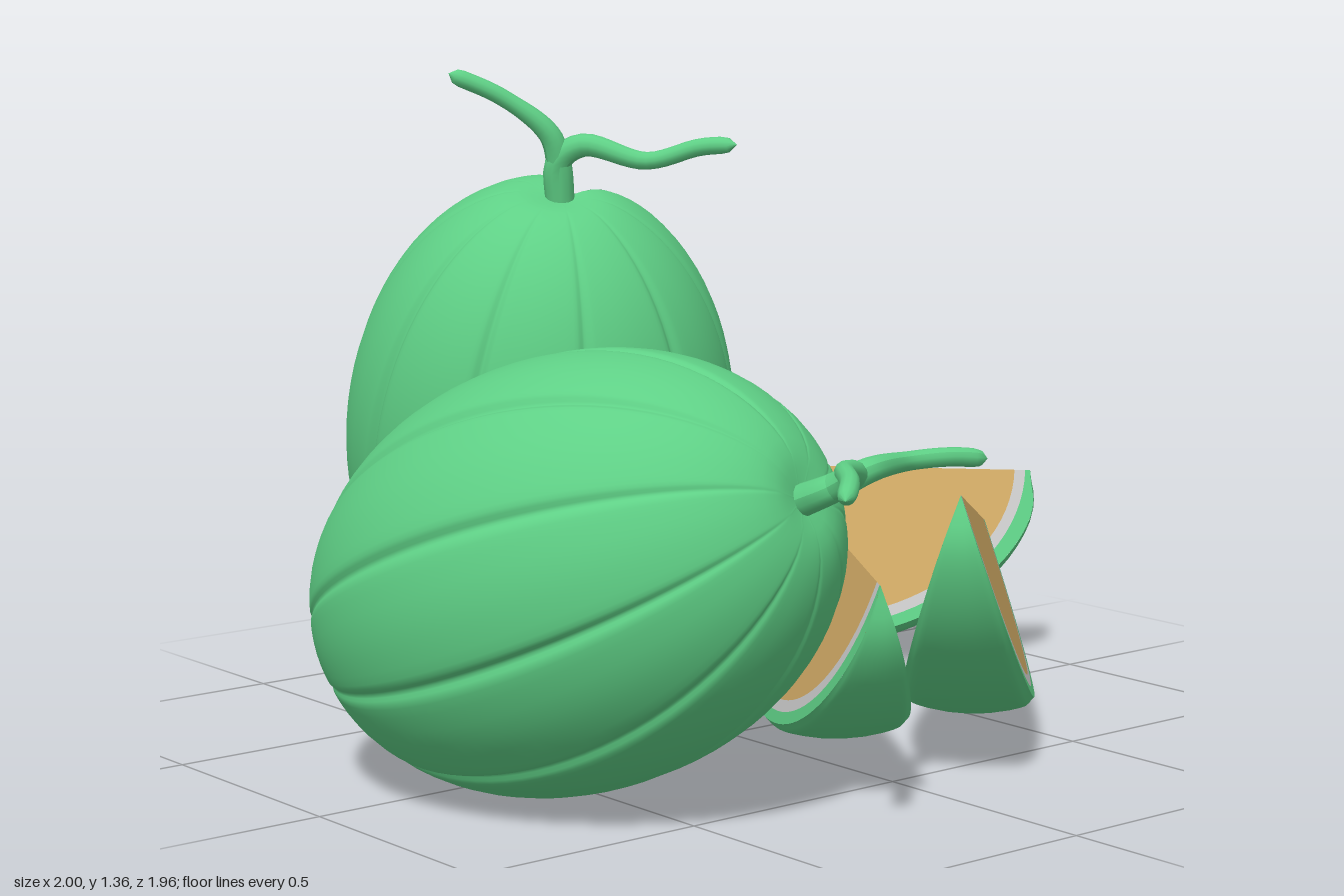
import * as THREE from 'three';

const R = 0.415, L = 0.57, RAD = Math.PI / 180;
const V = (x, y, z) => new THREE.Vector3(x, y, z);
const mat = (color, side = THREE.FrontSide) =>
  new THREE.MeshStandardMaterial({ color, side });
const rindMat = mat(0x5fd086);
const cutRindMat = mat(0x5fd086, THREE.DoubleSide);
const pithMat = mat(0xcccccc, THREE.DoubleSide);
const fleshMat = mat(0xd2ab66, THREE.DoubleSide);

function part(name, geometry, material) {
  const mesh = new THREE.Mesh(geometry, material);
  mesh.name = name;
  return mesh;
}

// Radius and height of the skin; u = 0 in a rib groove, 0.5 mid-segment
function skin(theta, u) {
  const edge = Math.min(u, 1 - u);
  const groove = 1 - 0.03 * Math.exp(-((edge / 0.05) ** 2)) + 0.006 * Math.sin(Math.PI * u);
  const dimple = 0.025 * Math.exp(-((theta / 0.16) ** 2));
  return [R * Math.sin(theta) * groove, L * Math.cos(theta) - dimple];
}

// Ribbed skin between two angles about the y axis
function skinGeometry(start, span, segments) {
  const us = [0, 0.025, 0.05, 0.08, 0.12, 0.2, 0.35, 0.5, 0.65, 0.8, 0.88, 0.92, 0.95, 0.975];
  const rows = 44, cols = segments * us.length;
  const pos = [], idx = [];
  for (let i = 0; i <= rows; i++) {
    for (let j = 0; j <= cols; j++) {
      const u = us[j % us.length];
      const phi = start + span * (Math.floor(j / us.length) + u) / segments;
      const [r, y] = skin(Math.PI * i / rows, u);
      pos.push(r * Math.cos(phi), y, -r * Math.sin(phi));
      if (i < rows && j < cols) {
        const a = i * (cols + 1) + j, b = a + cols + 1;
        idx.push(a, b, a + 1, a + 1, b, b + 1);
      }
    }
  }
  const g = new THREE.BufferGeometry();
  g.setAttribute('position', new THREE.Float32BufferAttribute(pos, 3));
  g.setIndex(idx);
  g.computeVertexNormals();
  return g;
}

// Half outline of a cut through the axis, inset by d from the skin
function outline(d) {
  const pts = [];
  for (let i = 0; i <= 48; i++) {
    const t = Math.PI * i / 48;
    const [r, y] = d ? [(R - d) * Math.sin(t), (L - d) * Math.cos(t)] : skin(t, 0);
    pts.push(new THREE.Vector2(i % 48 ? r : 0, y));
  }
  return pts;
}

// Flat cut face: rind band, pith band and flesh
function cutFace(angle) {
  const group = new THREE.Group();
  group.name = 'cutFace';
  const lines = [outline(0), outline(0.036), outline(0.06)];
  const band = (a, b) => new THREE.ShapeGeometry(new THREE.Shape([...a, ...[...b].reverse()]));
  group.add(
    part('cutRind', band(lines[0], lines[1]), cutRindMat),
    part('pith', band(lines[1], lines[2]), pithMat),
    part('flesh', new THREE.ShapeGeometry(new THREE.Shape(lines[2])), fleshMat));
  group.rotation.y = angle;
  return group;
}

// Melon or slice: centre, long axis, and a hint for the direction of angle 0
function melon(name, center, axis, hint, start, span, segments) {
  const group = new THREE.Group();
  group.name = name;
  group.add(part('rind', skinGeometry(start * RAD, span * RAD, segments), rindMat));
  if (span < 360) group.add(cutFace(start * RAD), cutFace((start + span) * RAD));
  const y = axis.clone().normalize();
  const x = hint.clone().addScaledVector(y, -hint.dot(y)).normalize();
  group.quaternion.setFromRotationMatrix(
    new THREE.Matrix4().makeBasis(x, y, x.clone().cross(y)));
  group.position.copy(center);
  return group;
}

// Tapered tube with a rounded tip
function vine(name, points, r0, r1) {
  const n = 28, sides = 12;
  const curve = new THREE.CatmullRomCurve3(points);
  const g = new THREE.TubeGeometry(curve, n, 1, sides);
  const p = g.attributes.position, v = V(0, 0, 0);
  for (let i = 0; i <= n; i++) {
    const t = i / n, c = curve.getPointAt(t);
    const tip = Math.sqrt(Math.max(0, 1 - Math.max(0, (t - 0.92) / 0.08) ** 2));
    const r = (r0 + (r1 - r0) * Math.min(1, t * 1.6)) * tip;
    for (let j = 0; j <= sides; j++) {
      const k = i * (sides + 1) + j;
      v.fromBufferAttribute(p, k).sub(c).multiplyScalar(r).add(c);
      p.setXYZ(k, v.x, v.y, v.z);
    }
  }
  g.computeVertexNormals();
  return part(name, g, rindMat);
}

// Two vines that share a stalk
function stem(name, stalk, tips) {
  const group = new THREE.Group();
  group.name = name;
  tips.forEach((tip) => group.add(vine('vine', [...stalk, ...tip], 0.031, 0.018)));
  return group;
}

export function createModel() {
  const model = new THREE.Group();
  const up = V(0, 1, 0), down = V(0, -1, 0);

  // Standing melon with two segments cut away, and the whole lying melon
  model.add(
    melon('cutMelon', V(-0.57, 0.58, 0.055), V(0.18, 0.53, 0.08), up, 0, 288, 8),
    melon('wholeMelon', V(0.195, 0.44, 0.545), V(0.51, 0.2, -0.155), up, 0, 360, 10));

  // Loose slices resting on their rinds
  [
    [V(-0.49, 0.44, -0.585), V(0.76, 0, -0.71)],
    [V(0.335, 0.48, -0.37), V(0.73, 0.24, 0.77)],
    [V(0.24, 0.475, -0.05), V(0.92, -0.04, 0.54)],
  ].forEach(([c, axis]) => model.add(melon('slice', c, axis, down, -19, 38, 1)));

  // Forked stems
  model.add(
    stem('cutMelonStem', [V(-0.4, 1.08, 0.125), V(-0.385, 1.17, 0.14)], [
      [V(-0.385, 1.23, 0.165), V(-0.43, 1.305, 0.25), V(-0.485, 1.355, 0.345)],
      [V(-0.34, 1.205, 0.11), V(-0.23, 1.175, 0.03), V(-0.14, 1.205, -0.04), V(-0.07, 1.212, -0.08)],
    ]),
    stem('wholeMelonStem', [V(0.68, 0.63, 0.395), V(0.745, 0.66, 0.375)], [
      [V(0.765, 0.685, 0.32), V(0.725, 0.685, 0.18), V(0.74, 0.685, 0.08), V(0.755, 0.675, 0)],
      [V(0.8, 0.69, 0.375), V(0.87, 0.715, 0.46), V(0.94, 0.71, 0.51), V(0.99, 0.69, 0.565)],
    ]));
  return model;
}
